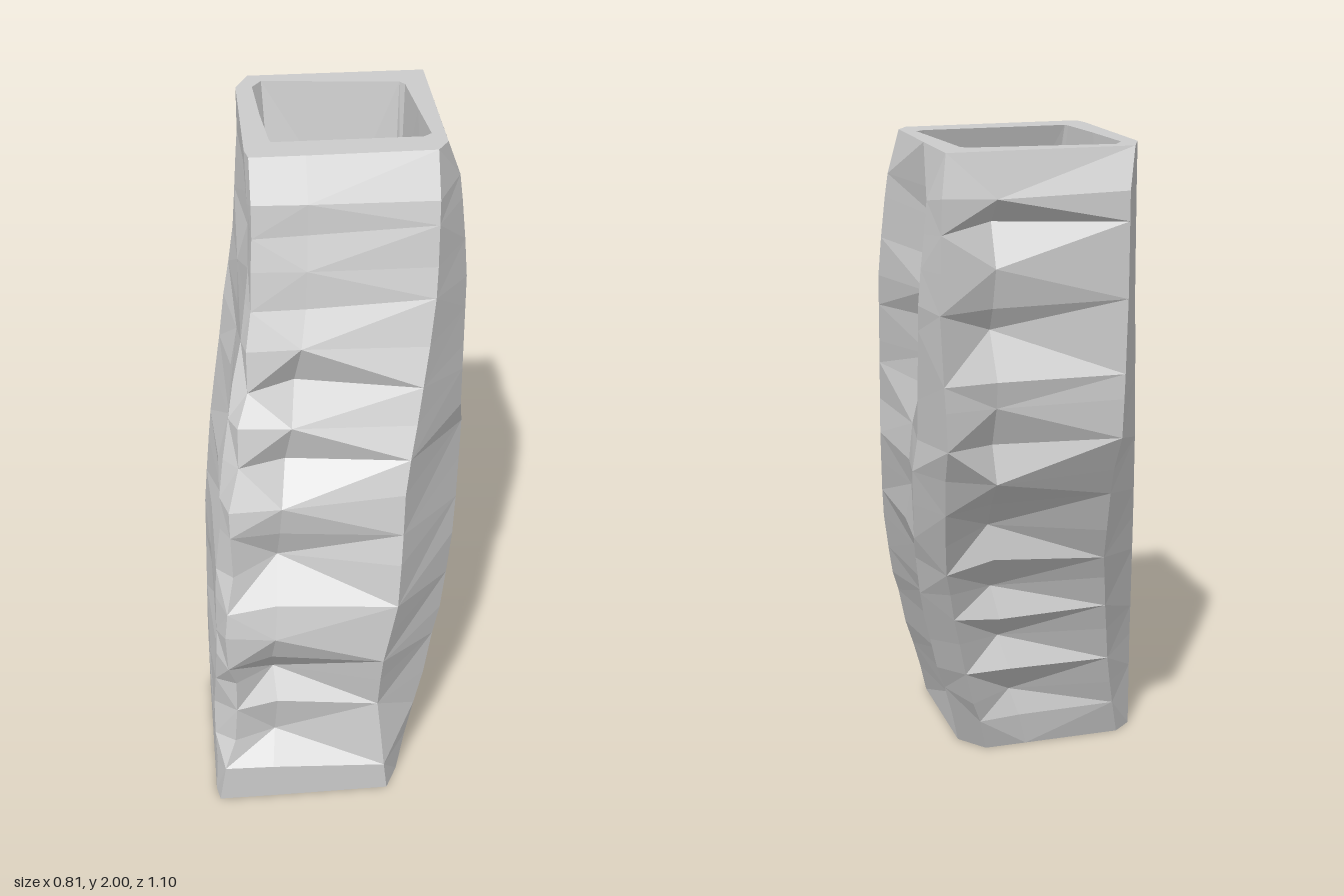
import * as THREE from 'three';

// Column outline by height:
// y, front z, front x-, front x+, side x+, its front z, its back z, back x+, back z, back x-, side x-, its back z, its front z
const KEYS = [
  [0.00, 0.55, -0.40, 0.13, 0.17, 0.46, 0.04, 0.10, -0.05, -0.35, -0.41, 0.00, 0.50],
  [0.11, 0.55, -0.38, 0.12, 0.20, 0.42, 0.00, 0.13, -0.09, -0.32, -0.41, 0.00, 0.49],
  [0.30, 0.51, -0.34, 0.10, 0.26, 0.36, -0.06, 0.19, -0.15, -0.28, -0.41, 0.00, 0.43],
  [0.52, 0.55, -0.37, 0.11, 0.32, 0.29, -0.13, 0.25, -0.23, -0.24, -0.405, -0.02, 0.49],
  [0.75, 0.53, -0.36, 0.16, 0.37, 0.20, -0.22, 0.30, -0.32, -0.20, -0.40, -0.04, 0.45],
  [1.05, 0.46, -0.34, 0.18, 0.405, 0.06, -0.35, 0.34, -0.48, -0.17, -0.37, -0.12, 0.39],
  [1.17, 0.42, -0.32, 0.20, 0.39, 0.12, -0.36, 0.35, -0.55, -0.17, -0.35, -0.17, 0.35],
  [1.60, 0.23, -0.25, 0.29, 0.405, 0.04, -0.45, 0.37, -0.55, -0.18, -0.27, -0.36, 0.18],
  [1.87, 0.17, -0.24, 0.30, 0.38, 0.00, -0.46, 0.36, -0.55, -0.18, -0.25, -0.41, 0.12],
  [2.00, 0.10, -0.24, 0.30, 0.335, 0.04, -0.42, 0.335, -0.50, -0.21, -0.25, -0.41, 0.05],
];

// y, depth of the front chip, depth of the back chip
const LEVELS = [
  [0, 0, 0], [0.11, 0, 0.02], [0.21, 0.07, 0.07], [0.32, 0.03, 0], [0.43, 0.11, 0.08], [0.53, 0.05, 0.01],
  [0.63, 0, 0.08], [0.73, 0.02, 0.01], [0.84, 0.10, 0.08], [0.95, 0.04, 0.05], [1.05, 0, 0], [1.16, 0.08, 0.09],
  [1.27, 0, 0.04], [1.37, 0.09, 0.02], [1.48, 0, 0.09], [1.58, 0.01, 0.05], [1.68, 0, 0.02], [1.79, 0.01, 0.08],
  [1.87, 0, 0.02], [2, 0, 0],
];

let seed = 7;
function rand() {
  seed = (seed * 16807) % 2147483647;
  return seed / 2147483647;
}

function keyAt(y) {
  let i = 0;
  while (i < KEYS.length - 2 && y > KEYS[i + 1][0]) i++;
  const a = KEYS[i], b = KEYS[i + 1], t = (y - a[0]) / (b[0] - a[0]);
  return a.map((v, k) => v + (b[k] - v) * t);
}

// Twelve-point ring, counter-clockwise seen from above
function ringAt([y, chip, backChip]) {
  const [, f, ax, bx, r, cz, dz, ex, bk, fx, l, gz, hz] = keyAt(y);
  const groove = y > 1.25 && y < 1.95 ? 0.06 : 0;
  const rough = y > 0 && y < 1.9 ? 0.035 : 0;
  const pts = [
    [ax + chip * 0.2, f - chip * 0.25], [ax + (bx - ax) * 0.3, f - chip], [bx, f - 0.005],
    [r, cz], [r - groove - rand() * rough, cz + (dz - cz) * 0.65], [r, dz],
    [ex, bk], [ex + (fx - ex) * 0.3, bk + backChip], [fx, bk],
    [l, gz], [l + rand() * rough, gz + (hz - gz) * (0.35 + rand() * 0.3)], [l + rand() * rough * 0.4, hz],
  ];
  return pts.map(([x, z]) => [x, y + (rand() - 0.5) * rough, z]);
}

// Skin between successive rings, with faceted shading
function loft(name, rings) {
  const n = rings[0].length, index = [];
  for (let j = 0; j < rings.length - 1; j++) {
    for (let i = 0; i < n; i++) {
      const a = j * n + i, b = j * n + (i + 1) % n, c = b + n, d = a + n;
      if ((i + j) % 2) index.push(a, b, c, a, c, d);
      else index.push(a, b, d, b, c, d);
    }
  }
  let geo = new THREE.BufferGeometry();
  geo.setAttribute('position', new THREE.Float32BufferAttribute(rings.flat(2), 3));
  geo.setIndex(index);
  geo = geo.toNonIndexed();
  geo.computeVertexNormals();
  const mesh = new THREE.Mesh(geo, new THREE.MeshStandardMaterial({ color: 0xcccccc, flatShading: true }));
  mesh.name = name;
  return mesh;
}

export function createModel() {
  const group = new THREE.Group();
  group.name = 'leaningRockColumn';
  seed = 7;

  // Leaning outer rock
  const outer = LEVELS.map(ringAt);
  const top = outer[outer.length - 1], base = outer[0];
  group.add(loft('rockShell', outer));

  // Rim and hollow, narrowing to a throat and opening again at the base
  const mouth = [
    [-0.17, 0], [0, 0], [0.27, 0], [0.295, -0.02], [0.28, -0.2], [0.265, -0.39],
    [0.25, -0.41], [0.05, -0.43], [-0.17, -0.455], [-0.2, -0.41], [-0.19, -0.2], [-0.175, -0.02],
  ];
  const throat = [
    [-0.14, 0.28], [0, 0.3], [0.17, 0.28], [0.25, 0.1], [0.24, -0.1], [0.23, -0.27],
    [0.22, -0.32], [0.1, -0.32], [-0.13, -0.32], [-0.14, -0.3], [-0.14, -0.05], [-0.14, 0.2],
  ];
  const inner = mouth.map(([x, z]) => [x, 2, z]);
  const neck = mouth.map(([x, z], i) => [(x + throat[i][0]) / 2, 1.6, (z + throat[i][1]) / 2]);
  const waist = throat.map(([x, z]) => [x, 1.2, z]);
  const foot = base.map(([x, , z]) => [-0.12 + (x + 0.12) * 0.9, 0, 0.25 + (z - 0.25) * 0.9]);
  group.add(loft('rimAndHollow', [top, inner, neck, waist, foot, base]));

  return group;
}
